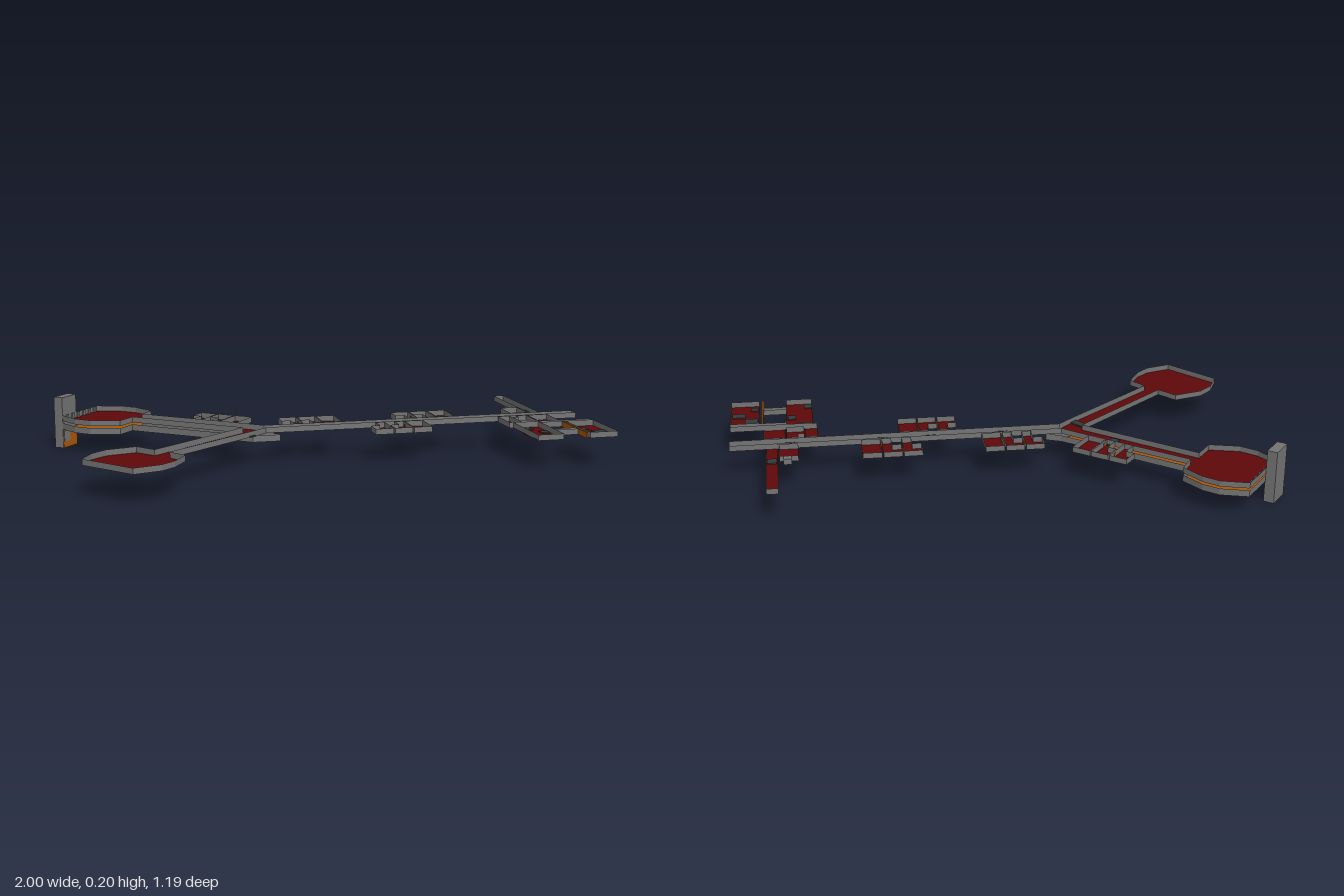
import * as THREE from 'three';
import { mergeGeometries } from 'three/addons/utils/BufferGeometryUtils.js';

const material = (color) => new THREE.MeshStandardMaterial({ color, side: THREE.DoubleSide, flatShading: true });
const grey = material(0x747474);
const red = material(0x5e0809);
const brown = material(0xa8580a);
const dark = material(0x35393a);

const FLOOR = 0.108, TOP = 0.13;

// Open tray: a floor over an outline of [x, z] points, with walls along each edge
function tray(name, points, floorMaterial = red, y0 = FLOOR, y1 = TOP) {
  const group = new THREE.Group();
  group.name = name;
  const shape = new THREE.Shape(points.map(([x, z]) => new THREE.Vector2(x, -z)));
  const floor = new THREE.Mesh(new THREE.ShapeGeometry(shape).rotateX(-Math.PI / 2).translate(0, y0, 0), floorMaterial);
  floor.name = name + 'Floor';
  const sides = points.map(([ax, az], i) => {
    const [bx, bz] = points[(i + 1) % points.length];
    return new THREE.PlaneGeometry(Math.hypot(bx - ax, bz - az), y1 - y0)
      .rotateY(-Math.atan2(bz - az, bx - ax))
      .translate((ax + bx) / 2, (y0 + y1) / 2, (az + bz) / 2);
  });
  const walls = new THREE.Mesh(mergeGeometries(sides), grey);
  walls.name = name + 'Walls';
  group.add(floor, walls);
  return group;
}

const rect = (x0, x1, z0, z1) => [[x0, z0], [x1, z0], [x1, z1], [x0, z1]];

function box(name, x0, x1, y0, y1, z0, z1, mat) {
  const mesh = new THREE.Mesh(new THREE.BoxGeometry(x1 - x0, y1 - y0, z1 - z0), mat);
  mesh.position.set((x0 + x1) / 2, (y0 + y1) / 2, (z0 + z1) / 2);
  mesh.name = name;
  return mesh;
}

// Three rooms beside a corridor: two with narrow entries, one full depth
function roomCluster(name, x, z, side, angle = 0) {
  const group = new THREE.Group();
  group.name = name;
  const s = (pts) => pts.map(([px, pz]) => [px, pz * side]);
  group.add(
    tray('firstRoom', s([[0, 0.09], [0.035, 0.09], [0.035, 0.03], [0.07, 0.03], [0.07, 0.155], [0, 0.155]])),
    tray('secondRoom', s([[0.075, 0.09], [0.11, 0.09], [0.11, 0.03], [0.145, 0.03], [0.145, 0.155], [0.075, 0.155]])),
    tray('deepRoom', s(rect(0.15, 0.222, 0.03, 0.155))),
    box('roomDoor', 0.068, 0.077, FLOOR, 0.122, side * 0.11 - 0.006, side * 0.11 + 0.006, brown),
    box('roomDoor', 0.143, 0.152, FLOOR, 0.122, side * 0.05 - 0.006, side * 0.05 + 0.006, brown),
  );
  group.position.set(x, 0, z);
  group.rotation.y = angle;
  return group;
}

export function createModel() {
  const model = new THREE.Group();
  model.name = 'corridorComplex';

  // Upper level: two halls and a Y-shaped corridor in one outline
  const pod = [[-0.71, -0.318], [-0.765, -0.25], [-0.875, -0.28], [-0.93, -0.33], [-0.97, -0.41],
    [-0.82, -0.595], [-0.72, -0.565], [-0.67, -0.52], [-0.62, -0.435], [-0.665, -0.37]];
  const half = [...pod, [-0.31, -0.075], [-0.25, -0.022], [1, -0.022]];
  const mirrored = half.map(([x, z]) => [x, -z]).reverse();
  model.add(tray('mainCorridor', [[-0.335, 0], ...half, ...mirrored]));

  // Lower level beneath the rear hall and its corridor
  model.add(tray('lowerCorridor',
    [...pod, [-0.25, -0.022], [-0.195, 0], [-0.195, 0.022], [-0.3, 0.022]], brown, 0.075, 0.1));

  // Lift shaft and window posts, aligned with the outer edge of the rear hall
  const edge = new THREE.Group();
  edge.name = 'liftEdge';
  edge.position.set(-0.97, 0, -0.41);
  edge.rotation.y = Math.atan2(0.185, 0.15);
  edge.add(
    box('liftShaft', 0.002, 0.096, 0, 0.2, -0.04, -0.002, grey),
    box('shaftPanel', 0.004, 0.095, 0.001, 0.073, -0.002, 0, brown),
    box('shaftDoor', 0.006, 0.044, 0.025, 0.067, -0.001, 0.002, grey),
    box('shaftBase', 0.003, 0.095, 0, 0.002, -0.041, -0.001, brown),
  );
  for (let i = 0; i < 6; i++) {
    const x = 0.02 + i * 0.038;
    edge.add(box('windowPost', x, x + 0.014, FLOOR, TOP, 0.002, 0.007, grey));
  }
  model.add(edge);

  // Room clusters along the corridors
  model.add(
    roomCluster('branchRooms', -0.531, -0.22, -1, -Math.atan2(0.632, 0.775)),
    roomCluster('rearRoomsA', -0.165, 0, -1),
    roomCluster('rearRoomsB', 0.29, 0, -1),
    roomCluster('frontRooms', 0.14, 0, 1),
  );

  // End wing: side passage and small rooms
  model.add(
    tray('sidePassage', rect(0.82, 0.862, -0.415, -0.022)),
    tray('rearEndRoom', rect(0.745, 0.815, -0.14, -0.03)),
    box('closet', 0.77, 0.8, FLOOR, TOP, -0.17, -0.14, grey),
    tray('endRoomA', rect(0.67, 0.718, 0.03, 0.155)),
    tray('endRoomB', [[0.72, 0.06], [0.745, 0.06], [0.745, 0.03], [0.787, 0.03], [0.787, 0.13], [0.72, 0.13]]),
    tray('endRoomC', rect(0.792, 0.872, 0.03, 0.155)),
  );

  // Two large end rooms joined by narrow links
  model.add(
    tray('largeRoomLeft', rect(0.89, 1, 0.185, 0.41)),
    tray('largeRoomRight', rect(0.685, 0.785, 0.16, 0.41)),
    tray('linkRear', rect(0.785, 1, 0.16, 0.18)),
    tray('linkFront', rect(0.785, 0.875, 0.313, 0.335)),
    box('sunkenFloor', 0.69, 0.73, 0.102, 0.107, 0.24, 0.3, red),
    box('innerPartition', 0.873, 0.88, FLOOR, TOP, 0.185, 0.41, brown),
  );
  for (const [x, z, w, d] of [[0.72, 0.2, 0.05, 0.03], [0.7, 0.38, 0.03, 0.04], [0.765, 0.27, 0.03, 0.04],
    [0.92, 0.25, 0.05, 0.05], [0.97, 0.31, 0.05, 0.04], [0.91, 0.37, 0.03, 0.03]]) {
    model.add(box('floorPatch', x - w / 2, x + w / 2, FLOOR, 0.112, z - d / 2, z + d / 2, dark));
  }

  // Dark thresholds across the corridors
  for (const x of [-0.03, 0.245, 0.43, 0.775]) {
    model.add(box('threshold', x - 0.018, x + 0.018, FLOOR, 0.113, -0.021, 0.021, dark));
  }
  model.add(box('threshold', 0.824, 0.86, FLOOR, 0.113, -0.16, -0.12, dark));
  for (const [x, z, turn] of [[-0.425, -0.135, -0.68], [-0.33, 0.06, 0.68]]) {
    const mesh = box('threshold', -0.016, 0.016, FLOOR, 0.113, -0.03, 0.03, dark);
    mesh.position.x = x;
    mesh.position.z = z;
    mesh.rotation.y = turn;
    model.add(mesh);
  }
  return model;
}
